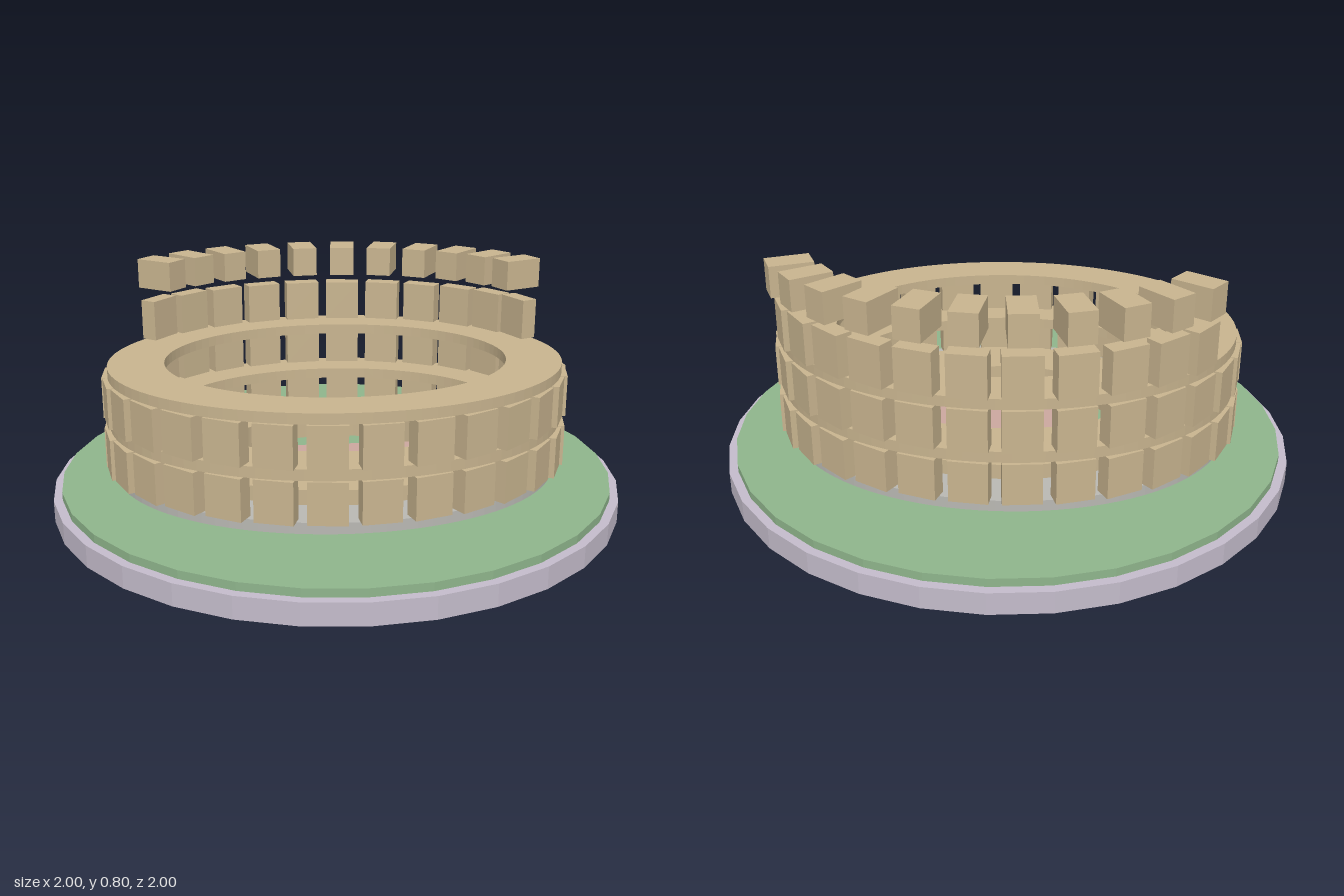
import * as THREE from 'three';

const mat = (name, color) => {
  const m = new THREE.MeshStandardMaterial({ color });
  m.name = name;
  return m;
};

export function createModel() {
  const model = new THREE.Group();
  model.name = 'amphitheatre';
  const sand = mat('sandstone', 0xc8b48f);
  const plinthGrey = mat('lavender grey', 0xc4bccb);
  const grass = mat('grass green', 0x8fb58c);
  const clay = mat('dusty pink', 0xcba79f);
  const podiumGrey = mat('podium grey', 0xb9b8b3);

  const add = (parent, name, geometry, material) => {
    const mesh = new THREE.Mesh(geometry, material);
    mesh.name = name;
    parent.add(mesh);
    return mesh;
  };

  // Flat disc between two heights
  const disc = (name, radius, y0, y1, material) => {
    const g = new THREE.CylinderGeometry(radius, radius, y1 - y0, 32).toNonIndexed();
    g.computeVertexNormals();
    g.translate(0, (y0 + y1) / 2, 0);
    return add(model, name, g, material);
  };

  // Elliptical ring between two heights
  const ring = (name, [ox, oz], [ix, iz], y0, y1, material) => {
    const shape = new THREE.Shape().absellipse(0, 0, ox, oz, 0, Math.PI * 2, false);
    shape.holes.push(new THREE.Path().absellipse(0, 0, ix, iz, 0, Math.PI * 2, true));
    const g = new THREE.ExtrudeGeometry(shape, { depth: y1 - y0, bevelEnabled: false, curveSegments: 48 });
    g.rotateX(-Math.PI / 2).translate(0, y0, 0);
    return add(model, name, g, material);
  };

  // Blocks set round an ellipse, numbered in 12 degree steps from the back
  const blocks = (name, first, last, [rx, rz], [w, h, d], y0) => {
    const group = new THREE.Group();
    group.name = name + 'Row';
    const g = new THREE.BoxGeometry(w, h, d);
    for (let i = first; i <= last; i++) {
      const a = THREE.MathUtils.degToRad(6 + 12 * i);
      const block = add(group, name, g, sand);
      block.position.set(rx * Math.sin(a), y0 + h / 2, -rz * Math.cos(a));
      block.rotation.y = -a;
    }
    model.add(group);
  };

  // Base, lawn and arena floor
  disc('base', 1, 0, 0.075, plinthGrey);
  disc('lawn', 0.97, 0.075, 0.103, grass);
  add(model, 'arenaFloor', new THREE.BoxGeometry(0.636, 0.008, 0.35), clay).position.y = 0.107;

  // Podium and low seating ring
  ring('podium', [0.78, 0.61], [0.58, 0.45], 0.1, 0.141, podiumGrey);
  ring('seating', [0.61, 0.475], [0.37, 0.29], 0.1, 0.193, sand);

  // Two full storeys of piers, each carrying a ring
  const wall = [0.782, 0.603];
  blocks('lowerPier', 0, 29, wall, [0.128, 0.144, 0.06], 0.141);
  ring('middleRing', [0.795, 0.622], [0.6, 0.467], 0.285, 0.323, sand);
  blocks('upperPier', 0, 29, wall, [0.128, 0.144, 0.06], 0.323);
  ring('topRing', [0.795, 0.622], [0.6, 0.467], 0.467, 0.503, sand);

  // Partial third storey with floating cap stones
  blocks('atticPier', -5, 5, wall, [0.128, 0.146, 0.06], 0.503);
  blocks('capStone', -5, 5, [0.762, 0.593], [0.092, 0.107, 0.148], 0.69);

  return model;
}
